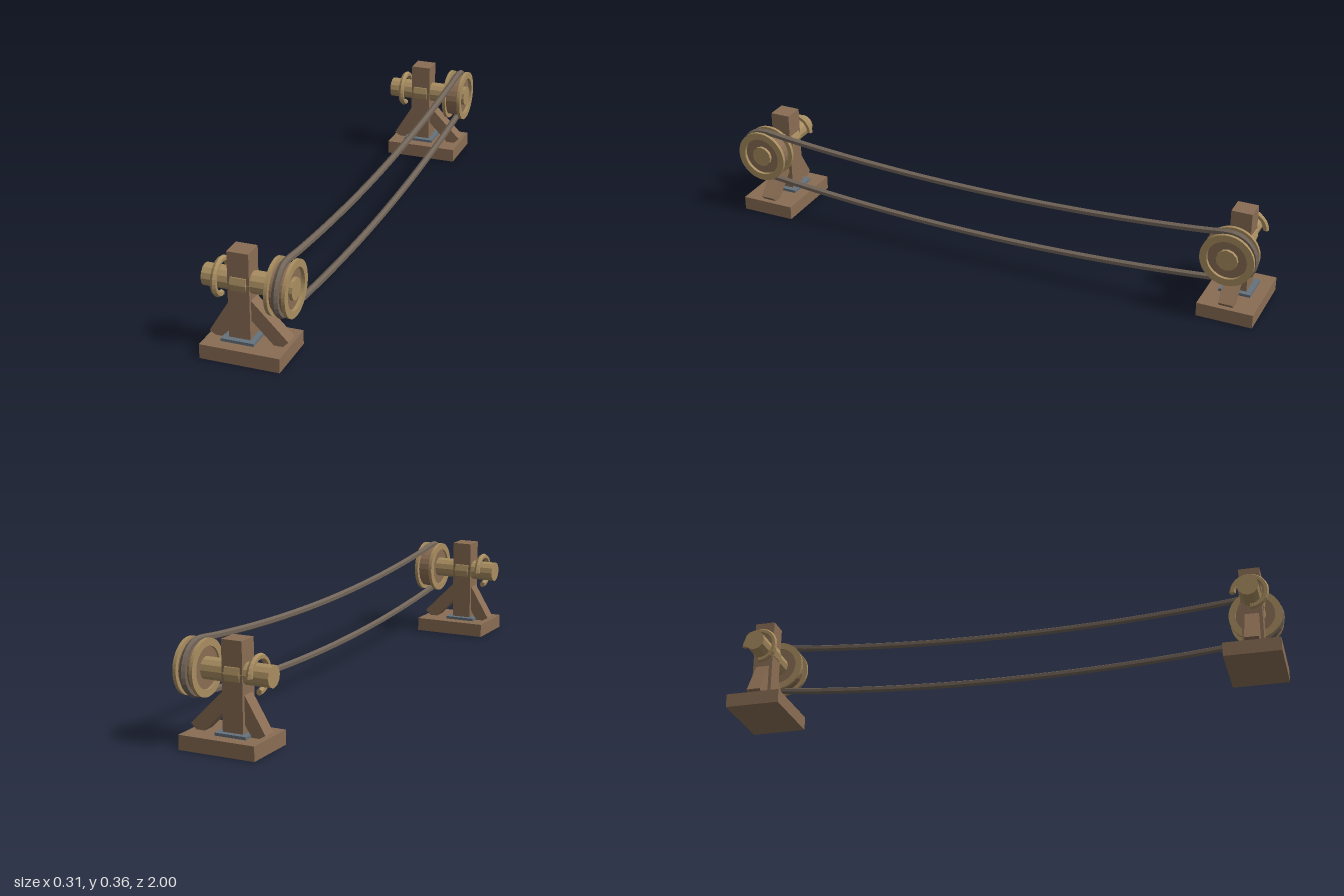
import * as THREE from 'three';

const mat = (color) => new THREE.MeshStandardMaterial({ color, flatShading: true });
const wood = mat(0x8a6d54), bronze = mat(0xa88d60), iron = mat(0x64717c), ropeMat = mat(0x716458);

const AXLE_Y = 0.25;
const STATION_Z = 0.9;
const ROPE_X = 0.12;

function add(parent, name, geometry, material, x = 0, y = 0, z = 0) {
  const mesh = new THREE.Mesh(geometry, material);
  mesh.name = name;
  mesh.position.set(x, y, z);
  parent.add(mesh);
  return mesh;
}

// Cylinder lying along x between two x positions
function rod(parent, name, x0, x1, radius, sides, material) {
  const g = new THREE.CylinderGeometry(radius, radius, x1 - x0, sides).rotateZ(Math.PI / 2);
  return add(parent, name, g, material, (x0 + x1) / 2, AXLE_Y);
}

// Square-ended beam rising from a foot point at an angle in the xy plane
function brace(parent, name, x, y, angle, length) {
  const g = new THREE.BoxGeometry(length, 0.049, 0.05).translate(length / 2, 0, 0);
  add(parent, name, g, wood, x, y).rotation.z = angle;
}

// Flat ring around the axle
function flange(parent, name, x) {
  const shape = new THREE.Shape().absarc(0, 0, 0.095, 0, Math.PI * 2);
  shape.holes.push(new THREE.Path().absarc(0, 0, 0.07, 0, Math.PI * 2, true));
  const g = new THREE.ExtrudeGeometry(shape, { depth: 0.012, bevelEnabled: false, curveSegments: 24 });
  add(parent, name, g.rotateY(Math.PI / 2), bronze, x, AXLE_Y);
}

function createStation(z) {
  const s = new THREE.Group();
  s.name = 'pulleyStation';
  s.position.z = z;

  // Timber stand
  add(s, 'base', new THREE.BoxGeometry(0.275, 0.05, 0.2), wood, -0.0015, 0.025);
  add(s, 'post', new THREE.BoxGeometry(0.074, 0.31, 0.074), wood, -0.026, 0.205);
  add(s, 'footPlate', new THREE.BoxGeometry(0.114, 0.01, 0.114), iron, -0.027, 0.055);
  brace(s, 'steepBrace', -0.115, 0.05, 1.03, 0.17);
  brace(s, 'wideBrace', 0.118, 0.052, Math.PI * 0.75, 0.19);

  // Axle with its bearing
  rod(s, 'axle', -0.155, 0.155, 0.0375, 12, bronze);
  rod(s, 'bearing', -0.054, 0.001, 0.045, 12, bronze);

  // Grooved wheel
  rod(s, 'wheelDrum', 0.09, 0.143, 0.08, 24, wood);
  flange(s, 'innerFlange', 0.083);
  flange(s, 'outerFlange', 0.143);

  // Open three-quarter ring around the free end of the axle
  const ring = new THREE.Group();
  ring.name = 'openRing';
  ring.position.set(-0.101, AXLE_Y, 0);
  ring.rotation.y = Math.PI / 2;
  add(ring, 'ringArc', new THREE.TorusGeometry(0.0575, 0.011, 6, 18, Math.PI * 1.5), bronze);
  for (const [a, turn] of [[0, Math.PI / 2], [Math.PI * 1.5, Math.PI / 2]]) {
    const cap = add(ring, 'ringEnd', new THREE.CircleGeometry(0.011, 6), bronze.clone(),
      0.0575 * Math.cos(a), 0.0575 * Math.sin(a));
    cap.material.side = THREE.DoubleSide;
    cap.rotation.set(turn, 0, a, 'ZXY');
  }
  s.add(ring);
  return s;
}

// Closed rope loop: half turns on the wheels, sagging spans between
function createRope() {
  const R = 0.0885, SAG = 0.049, pts = [];
  const put = (y, z) => pts.push(new THREE.Vector3(ROPE_X, y, z));
  for (const side of [1, -1]) {
    for (let i = 0; i <= 12; i++) {
      const a = (i / 12) * Math.PI;
      put(AXLE_Y + side * R * Math.cos(a), side * (STATION_Z + R * Math.sin(a)));
    }
    for (let i = 1; i < 16; i++) {
      const t = 1 - i / 8;
      put(AXLE_Y - side * R - SAG * (1 - t * t), side * t * STATION_Z);
    }
  }
  const path = new THREE.CatmullRomCurve3(pts, true);
  const hex = new THREE.Shape(Array.from({ length: 6 }, (_, i) => {
    const a = Math.PI / 2 + (i * Math.PI) / 3;
    return new THREE.Vector2(0.0122 * Math.cos(a), 0.0122 * Math.sin(a));
  }));
  return new THREE.ExtrudeGeometry(hex, { steps: 200, extrudePath: path, bevelEnabled: false });
}

export function createModel() {
  const model = new THREE.Group();
  model.name = 'ropePulleyLine';
  for (const z of [STATION_Z, -STATION_Z]) model.add(createStation(z));
  add(model, 'rope', createRope(), ropeMat);
  return model;
}
